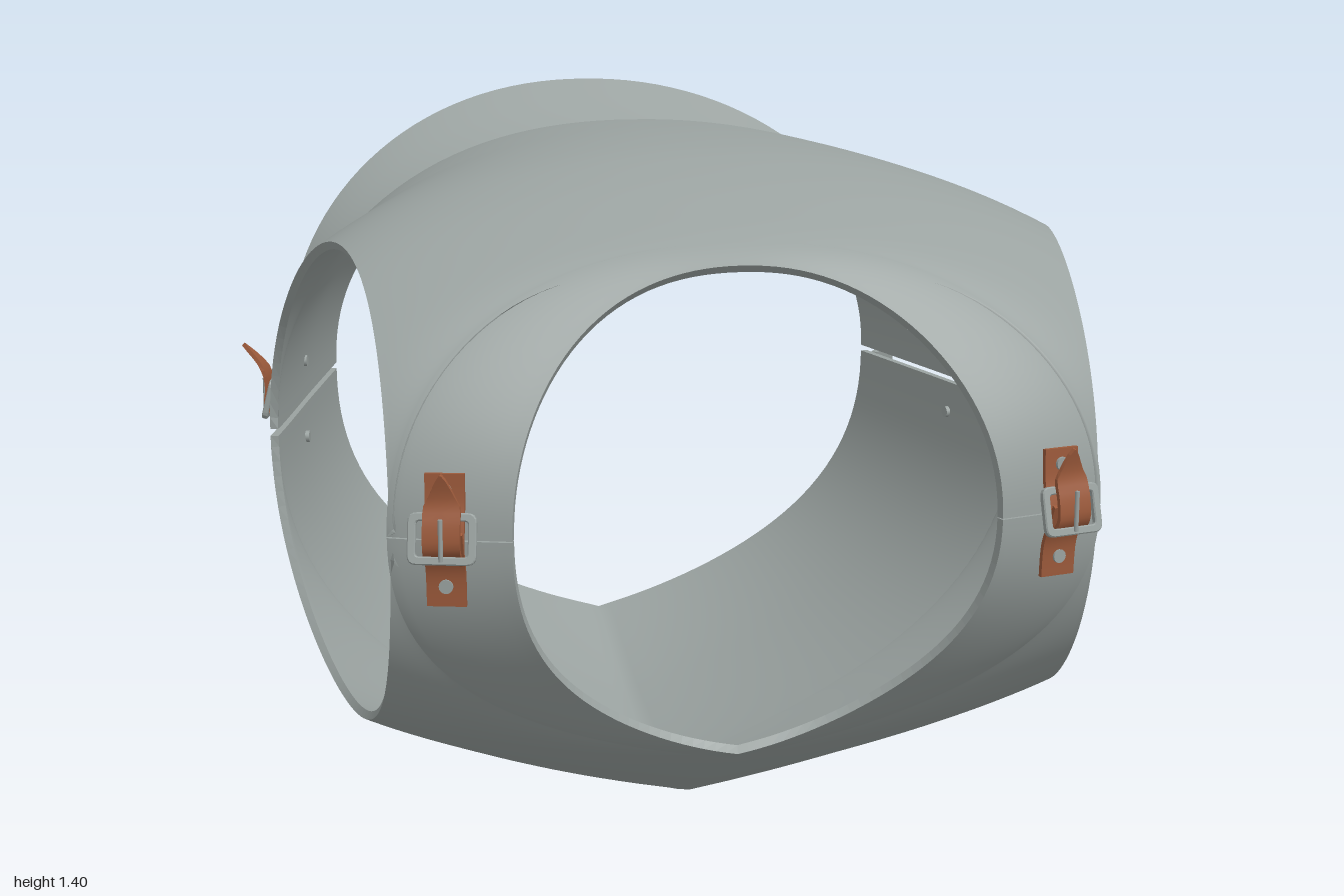
import * as THREE from 'three';
import { mergeGeometries } from 'three/addons/utils/BufferGeometryUtils.js';

const steel = new THREE.MeshStandardMaterial({ color: 0x9aa2a0, side: THREE.DoubleSide });
steel.name = 'steel';
const leather = new THREE.MeshStandardMaterial({ color: 0x9c5a3b, side: THREE.DoubleSide });
leather.name = 'leather';

// Section keys from back to front: z at centre, z at side, half width, top, bottom, squareness, keel
const BODY = [
  [-0.79, -0.70, 0.632, 1.275, 0.145, 2.2, 0.13],
  [-0.40, -0.37, 0.705, 1.36, 0.05, 2.2, 0.17],
  [0, 0, 0.785, 1.385, 0.015, 2.2, 0.18],
  [0.30, 0.30, 0.865, 1.375, 0.095, 2.2, 0.12],
  [0.50, 0.54, 0.90, 1.338, 0.187, 2.2, 0.10],
  [0.66, 0.76, 0.82, 1.285, 0.275, 2.2, 0.09],
  [0.735, 0.885, 0.62, 1.25, 0.318, 2.2, 0.08],
  [0.78, 0.955, 0.42, 1.217, 0.34, 2.1, 0.08],
];
const COLLAR = [
  [-0.99, -0.785, 0.72, 1.408, 0.004, 2.1, 0.04],
  [-0.87, -0.72, 0.68, 1.335, 0.085, 2.15, 0.08],
  [-0.765, -0.67, 0.65, 1.285, 0.135, 2.2, 0.12],
];

// Smooth interpolation of the section keys
function sectionAt(keys, t) {
  const i = Math.min(Math.floor(t), keys.length - 2), u = t - i;
  const a = keys[Math.max(i - 1, 0)], b = keys[i], c = keys[i + 1], d = keys[Math.min(i + 2, keys.length - 1)];
  return b.map((v, k) => v + 0.5 * u * (c[k] - a[k] +
    u * (2 * a[k] - 5 * v + 4 * c[k] - d[k] + u * (3 * (v - c[k]) + d[k] - a[k]))));
}

// Point on a section; angle 0 is the left seam, a quarter turn is the top
function pointOn([zc, zs, w, top, bottom, n, keel], angle, bend) {
  const c = Math.cos(angle), s = Math.sin(angle);
  const r = Math.pow(Math.abs(c) ** n + Math.abs(s) ** n, -1 / n);
  const X = Math.abs(c) * r, Y = Math.abs(s) * r;
  const lowSeam = zs > 0.8 ? 0.795 : 0.783; // the halves meet at the front
  const y = s >= 0 ? 0.797 + (top - 0.797) * Y
    : lowSeam - (lowSeam - bottom) * Y * (1 - keel * X * (2 - X));
  return new THREE.Vector3(w * c * r, y, zc + (zs - zc) * X ** bend);
}

// Thick sheet from a grid of points, with inner face and edge walls
function sheet(grid, thickness) {
  const m = grid.length, n = grid[0].length, idx = [];
  for (let i = 0; i < m - 1; i++) for (let j = 0; j < n - 1; j++) {
    const a = i * n + j, b = a + 1, c = a + n, d = c + 1;
    idx.push(a, b, d, a, d, c);
  }
  const pts = grid.flat();
  const outer = new THREE.BufferGeometry().setFromPoints(pts);
  outer.setIndex(idx);
  outer.computeVertexNormals();
  const normals = outer.attributes.normal;
  const innerPts = pts.map((p, k) =>
    p.clone().addScaledVector(new THREE.Vector3().fromBufferAttribute(normals, k), -thickness));
  const inner = new THREE.BufferGeometry().setFromPoints(innerPts);
  inner.setIndex(idx.slice().reverse());
  inner.computeVertexNormals();

  const loop = [];
  for (let j = 0; j < n - 1; j++) loop.push(j);
  for (let i = 0; i < m - 1; i++) loop.push(i * n + n - 1);
  for (let j = n - 1; j > 0; j--) loop.push((m - 1) * n + j);
  for (let i = m - 1; i > 0; i--) loop.push(i * n);
  const wall = [];
  loop.forEach((p, k) => {
    const q = loop[(k + 1) % loop.length];
    wall.push(innerPts[p], innerPts[q], pts[q], innerPts[p], pts[q], pts[p]);
  });
  const rim = new THREE.BufferGeometry().setFromPoints(wall);
  rim.computeVertexNormals();
  return mergeGeometries([outer.toNonIndexed(), inner.toNonIndexed(), rim]);
}

// Angle from the seam to the edge of the arm opening
function armEdge(section, sign) {
  const inside = a => {
    const p = pointOn(section, sign * a, 3);
    return ((p.z - 0.4425) / 0.4425) ** 2 + ((p.y - 0.79) / 0.435) ** 2 < 1;
  };
  let lo = 0.0001, hi = Math.PI / 2;
  if (!inside(lo)) return lo;
  for (let k = 0; k < 30; k++) {
    const mid = (lo + hi) / 2;
    if (inside(mid)) lo = mid; else hi = mid;
  }
  return lo;
}

// Half a shell: upper for sign 1, lower for sign -1
function halfShell(keys, steps, sign, bend, hasArms) {
  const rows = 64, start = sign > 0 ? 0 : Math.PI;
  const grid = steps.map(t => {
    const s = sectionAt(keys, t), h = hasArms ? armEdge(s, sign) : 0.0001;
    if (h > 0.0001) {
      // Widen the section so that the arm opening follows an inward sloping curve
      const p = pointOn(s, sign * h, bend);
      s[2] *= (0.785 - 0.36 * p.z + 0.19 * p.z * p.z) / p.x;
    }
    return Array.from({ length: rows + 1 }, (_, j) =>
      pointOn(s, start + h + (Math.PI - 2 * h) * j / rows, bend));
  });
  return sheet(grid, 0.016);
}

function add(parent, name, geometry, material) {
  const mesh = new THREE.Mesh(geometry, material);
  mesh.name = name;
  parent.add(mesh);
  return mesh;
}

// Leather ribbon along a path of (height, outward) points
function ribbon(path, widthAt) {
  const curve = new THREE.SplineCurve(path.map(p => new THREE.Vector2(...p)));
  return sheet(Array.from({ length: 15 }, (_, i) => {
    const u = i / 14, p = curve.getPoint(u), w = widthAt(u) / 2;
    return [-w, 0, w].map(x => new THREE.Vector3(x, p.x, p.y));
  }), 0.008);
}

// Strap and buckle, facing local +z with the seam at y = 0
function makeStrap(name, lean) {
  const g = new THREE.Group();
  g.name = name;
  add(g, 'lowerStrap', ribbon([[-0.115, 0.01], [-0.06, 0.014], [-0.02, 0.03], [0.015, 0.044]], () => 0.066), leather);
  add(g, 'upperStrap', ribbon([[-0.02, 0.03], [0.02, 0.022], [0.06, 0.012], [0.11, 0.01]], () => 0.066), leather);
  add(g, 'strapTip', ribbon([[-0.04, 0.03], [-0.01, 0.056], [0.03, 0.054], [0.07, 0.03 + lean * 0.4], [0.115, 0.02 + lean]],
    u => 0.062 * Math.min(1, (1 - u) * 3.2 + 0.04)), leather);

  // Rounded frame with an open middle
  const outline = (path, w, h, r) => path.moveTo(-w + r, -h)
    .lineTo(w - r, -h).quadraticCurveTo(w, -h, w, -h + r)
    .lineTo(w, h - r).quadraticCurveTo(w, h, w - r, h)
    .lineTo(-w + r, h).quadraticCurveTo(-w, h, -w, h - r)
    .lineTo(-w, -h + r).quadraticCurveTo(-w, -h, -w + r, -h);
  const frame = outline(new THREE.Shape(), 0.055, 0.041, 0.014);
  frame.holes.push(outline(new THREE.Path(), 0.045, 0.031, 0.008));
  const buckle = add(g, 'buckleFrame', new THREE.ExtrudeGeometry(frame, {
    depth: 0.008, bevelEnabled: true, bevelSize: 0.002, bevelThickness: 0.002, bevelSegments: 1, curveSegments: 4,
  }), steel);
  buckle.position.set(0, 0.008, 0.04);
  buckle.rotation.x = -0.25;
  const prong = add(g, 'bucklePin', new THREE.CylinderGeometry(0.004, 0.004, 0.07, 8), steel);
  prong.position.set(0, 0.01, 0.06);

  for (const y of [-0.08, 0.083]) {
    const rivet = add(g, 'rivet', new THREE.CylinderGeometry(0.012, 0.012, 0.048, 16), steel);
    rivet.rotation.x = Math.PI / 2;
    rivet.position.set(0, y, -0.008);
  }
  return g;
}

export function createModel() {
  const model = new THREE.Group();
  model.name = 'bodyArmour';

  // Columns run from back to neck, closer together at the arm opening ends
  const steps = [];
  for (let i = 0; i < 20; i++) steps.push(i / 10);
  for (let i = 0; i < 56; i++) steps.push(4 - 2 * Math.cos(Math.PI * i / 56));
  for (let i = 0; i <= 10; i++) steps.push(6 + i / 10);
  const collarSteps = Array.from({ length: 9 }, (_, i) => i / 4);

  for (const [half, sign] of [['upper', 1], ['lower', -1]]) {
    add(model, half + 'Shell', halfShell(BODY, steps, sign, 3, true), steel);
    add(model, half + 'Collar', halfShell(COLLAR, collarSteps, sign, 2, false), steel);
  }

  // Straps bridging the seam at the sides and front
  for (const [side, s] of [['left', 1], ['right', -1]]) {
    const flank = makeStrap(side + 'SideStrap', 0.085);
    flank.position.set(s * 0.728, 0.797, -0.29);
    flank.rotation.y = s * (Math.PI / 2 + 0.21);
    const front = makeStrap(side + 'FrontStrap', 0.03);
    front.position.set(s * 0.525, 0.802, 0.926);
    front.rotation.y = s * 0.26;
    model.add(flank, front);
  }
  return model;
}
